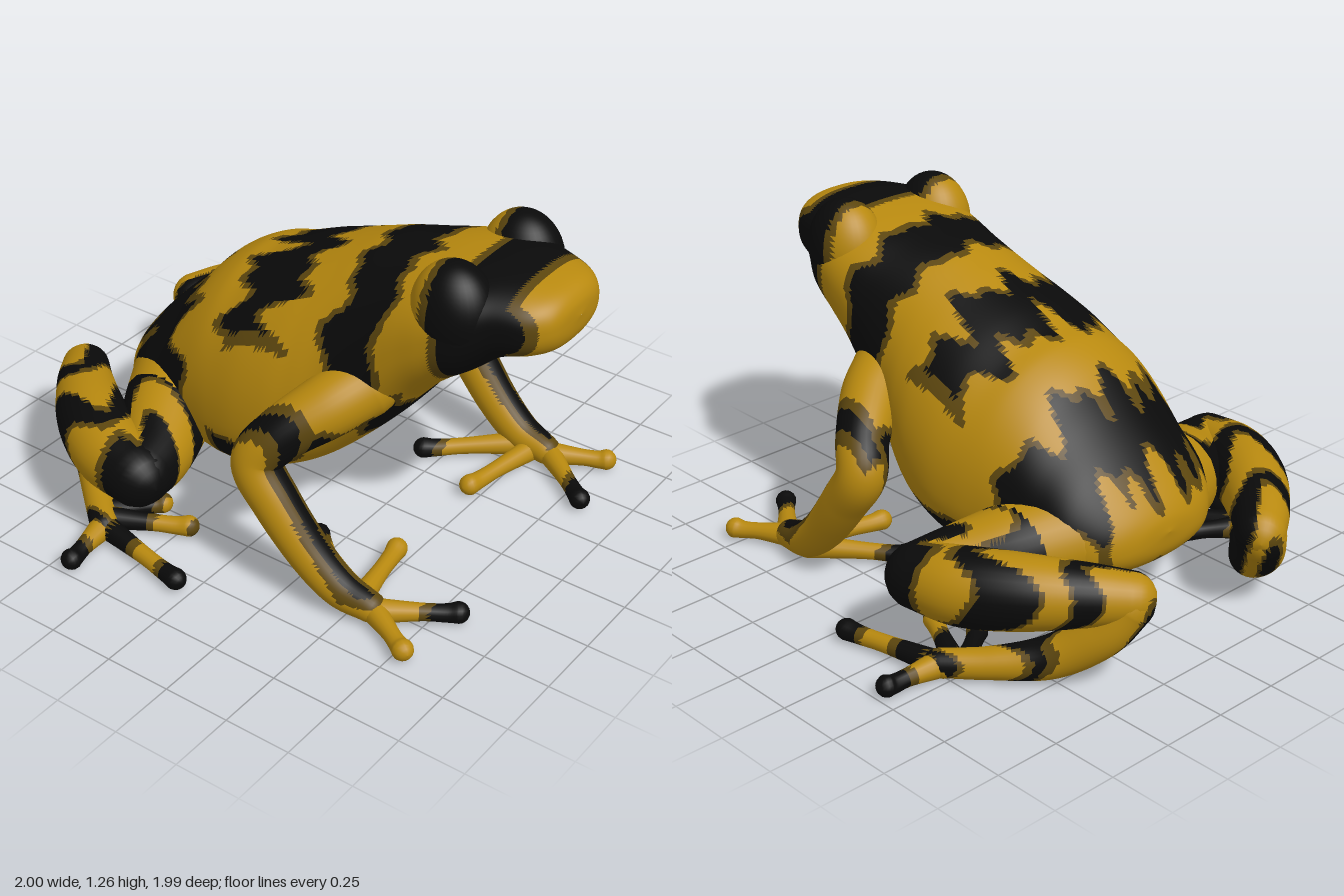
import * as THREE from 'three';

const SHADES = [
  ['Gold', new THREE.MeshStandardMaterial({ color: 0xb8890f })],
  ['Brown', new THREE.MeshStandardMaterial({ color: 0x5c460e })],
  ['Black', new THREE.MeshStandardMaterial({ color: 0x0a0a0a })],
];
const V = (x, y, z) => new THREE.Vector3(x, y, z);
const band = (v, a, b) => Math.min(v - a, b - v);

// Closed skin over a list of rings with equal point counts
function skin(rings) {
  const n = rings[0].length, idx = [];
  for (let i = 0; i < rings.length - 1; i++) {
    for (let j = 0; j < n; j++) {
      const a = i * n + j, b = i * n + (j + 1) % n;
      idx.push(a, b, a + n, b, b + n, a + n);
    }
  }
  const geo = new THREE.BufferGeometry().setFromPoints(rings.flat());
  geo.setIndex(idx);
  geo.computeVertexNormals();
  return geo;
}

// Splits a skin into gold, brown edge and black patches; field > 0 is black
function paint(name, geo, field) {
  const group = new THREE.Group();
  group.name = name;
  const pos = geo.attributes.position, index = geo.index.array, sets = [[], [], []];
  for (let i = 0; i < index.length; i += 3) {
    const c = V(0, 0, 0), p = V(0, 0, 0);
    for (let k = 0; k < 3; k++) c.add(p.fromBufferAttribute(pos, index[i + k]));
    c.divideScalar(3);
    const f = field(Math.abs(c.x), c.y, c.z, c.x);
    sets[f > 0.015 ? 2 : f > -0.015 ? 1 : 0].push(index[i], index[i + 1], index[i + 2]);
  }
  sets.forEach((set, k) => {
    if (!set.length) return;
    const part = new THREE.BufferGeometry();
    part.setAttribute('position', pos);
    part.setAttribute('normal', geo.attributes.normal);
    part.setIndex(set);
    const mesh = new THREE.Mesh(part, SHADES[k][1]);
    mesh.name = name + SHADES[k][0];
    group.add(mesh);
  });
  return group;
}

// Round-ended limb through [x, y, z, radius] points
function limb(points, side, steps = 50, sides = 32) {
  const path = new THREE.CatmullRomCurve3(points.map(p => V(p[0] * side, p[1], p[2])), false, 'catmullrom', 0.5);
  const radii = new THREE.CatmullRomCurve3(points.map(p => V(p[3], 0, 0)), false, 'catmullrom', 0.5);
  const stations = [];
  for (let k = 5; k > 0; k--) stations.push([0, -k * Math.PI / 10]);
  for (let k = 0; k <= steps; k++) stations.push([k / steps, 0]);
  for (let k = 1; k <= 5; k++) stations.push([1, k * Math.PI / 10]);
  const normal = V(0.31, 0.9, 0.27);
  return skin(stations.map(([t, cap]) => {
    const T = path.getTangent(t), r = radii.getPoint(t).x;
    normal.addScaledVector(T, -normal.dot(T)).normalize();
    const B = T.clone().cross(normal);
    const centre = path.getPoint(t).addScaledVector(T, r * Math.sin(cap));
    const R = Math.max(r * Math.cos(cap), 1e-4);
    return Array.from({ length: sides }, (_, j) => {
      const a = j / sides * Math.PI * 2;
      return centre.clone().addScaledVector(normal, R * Math.cos(a)).addScaledVector(B, R * Math.sin(a));
    });
  }));
}

// Body and head cross-sections from rump to snout: [z, half width, top, bottom]
const SECTIONS = [
  [-0.78, 0.001, 0.401, 0.4], [-0.765, 0.15, 0.46, 0.32], [-0.72, 0.26, 0.53, 0.27],
  [-0.62, 0.355, 0.645, 0.22], [-0.5, 0.39, 0.76, 0.19], [-0.4, 0.415, 0.87, 0.17],
  [-0.3, 0.445, 0.935, 0.16], [-0.2, 0.47, 0.965, 0.16], [-0.08, 0.485, 1.015, 0.175],
  [0.04, 0.475, 1.06, 0.22], [0.14, 0.445, 1.1, 0.28], [0.25, 0.4, 1.14, 0.38],
  [0.38, 0.37, 1.17, 0.52], [0.5, 0.355, 1.195, 0.67], [0.6, 0.345, 1.21, 0.765],
  [0.7, 0.325, 1.22, 0.84], [0.8, 0.265, 1.22, 0.92], [0.9, 0.225, 1.205, 0.955],
  [0.96, 0.175, 1.185, 0.985], [0.99, 0.115, 1.15, 1.03], [1.0, 0.001, 1.1, 1.099],
];

// Pear-shaped on the trunk, rounder towards the head
function bodyGeometry() {
  const a = new THREE.CatmullRomCurve3(SECTIONS.map(s => V(s[0], s[1], s[2])), false, 'catmullrom', 0.5);
  const b = new THREE.CatmullRomCurve3(SECTIONS.map(s => V(s[3], 0, 0)), false, 'catmullrom', 0.5);
  const round = (v, e) => Math.sign(v) * Math.abs(v) ** (2 / e);
  const rows = 160, cols = 112, rings = [];
  for (let i = 0; i <= rows; i++) {
    const p = a.getPoint(i / rows), low = b.getPoint(i / rows).x;
    const head = THREE.MathUtils.smoothstep(p.x, 0.1, 0.65);
    const mid = low + (p.z - low) * (0.4 + 0.1 * head);
    rings.push(Array.from({ length: cols }, (_, j) => {
      const t = j / cols * Math.PI * 2, s = Math.sin(t), e = s > 0 ? 2.05 + 0.5 * head : 2.35;
      return V(p.y * round(Math.cos(t), e), mid + (s > 0 ? p.z - mid : mid - low) * round(s, e), p.x);
    }));
  }
  return skin(rings);
}

// Jagged cross bands, back patch, dark flanks and head mask
function bodyField(x, y, z, sx) {
  const jag = 0.03 * Math.sin(sx * 31) + 0.025 * Math.sin(sx * 53 + 1) + 0.02 * Math.sin(y * 29);
  const collar = band(z + jag * 0.6, y < 0.62 ? 0.31 : 0.25, 0.46);
  const patch = Math.min(band(z + jag * 1.5, -0.18, 0.03), 0.4 - x, y - 0.74);
  const rump = Math.min(band(z + jag * 1.3, -0.68, -0.45 + 0.35 * Math.max(0, 0.75 - y)), y - 0.34 + jag);
  const flank = Math.min(band(z, -0.2, 0.14), band(y + jag, 0.27, 0.4), x - 0.36);
  const face = Math.min(0.2 - x, y - 0.96, z - 0.86);
  const mask = Math.min(z - 0.645, -face);
  return Math.max(collar, patch, rump, flank, mask);
}

// Streaks running along the hind legs
function legField(x, y, z) {
  const u = 0.55 * x + 0.83 * z, v = 0.83 * x - 0.55 * z;
  const streak = 0.08 * (Math.sin(17 * u + 2 * Math.sin(21 * v) + 9 * y) + 0.6 * Math.sin(26 * v + 5 * y) - 0.15);
  return Math.max(streak, Math.min(x - 0.7, z + 0.4));
}
const armField = (x, y, z) => Math.max(
  Math.min(band(x, 0.55, 0.63), y - 0.1, z - 0.3 + (y - 0.28) * 0.9),
  Math.min(band(y, 0.42, 0.62) + 0.02 * Math.sin(40 * x), 0.55 - x));

// Toe from a palm point to a padded tip
const toe = (from, tip, side) => limb([
  [from[0], 0.055, from[1], 0.045],
  [from[0] * 0.45 + tip[0] * 0.55, 0.05, from[1] * 0.45 + tip[1] * 0.55, 0.032],
  [from[0] * 0.15 + tip[0] * 0.85, 0.045, from[1] * 0.15 + tip[1] * 0.85, 0.033],
  [tip[0], 0.047, tip[1], 0.039]], side, 16, 14);

export function createModel() {
  const model = new THREE.Group();
  model.name = 'frog';
  model.add(paint('body', bodyGeometry(), bodyField));

  for (const side of [1, -1]) {
    const label = side > 0 ? 'left' : 'right';
    const add = (name, geo, field) => model.add(paint(label + name, geo, field));

    // Eye bulge sunk into the head
    const eye = new THREE.SphereGeometry(1, 36, 28).scale(0.13, 0.18, 0.15).translate(side * 0.21, 1.09, 0.645);
    add('Eye', eye, (x, y, z) => z - 0.6);

    // Front leg
    add('FrontLeg', limb([
      [0.28, 0.73, 0.35, 0.12], [0.41, 0.675, 0.28, 0.112], [0.54, 0.59, 0.18, 0.095], [0.595, 0.49, 0.125, 0.09],
      [0.6, 0.36, 0.21, 0.085], [0.59, 0.2, 0.34, 0.078], [0.58, 0.1, 0.46, 0.07], [0.57, 0.065, 0.58, 0.055]],
    side, 80), armField);
    [[0.67, 0.785], [0.4, 0.83], [0.235, 0.46], [0.33, 0.19]].forEach((tip, i) =>
      add('FrontToe' + (i + 1), toe([0.57, [0.6, 0.6, 0.53, 0.48][i]], tip, side),
        (x, y, z) => (i === 1 ? z - 0.75 : i === 3 ? 0.25 - z : -1)));

    // Hind leg: thigh, shin, then the long foot folded under the shin
    add('Thigh', limb([
      [0.22, 0.38, -0.53, 0.175], [0.4, 0.35, -0.44, 0.165], [0.57, 0.325, -0.35, 0.135], [0.7, 0.32, -0.31, 0.115]],
    side), (x, y, z) => (x < 0.42 ? -1 : legField(x, y, z)));
    add('Shin', limb([
      [0.715, 0.32, -0.315, 0.118], [0.67, 0.33, -0.48, 0.135], [0.57, 0.34, -0.65, 0.13],
      [0.43, 0.34, -0.81, 0.108], [0.325, 0.33, -0.905, 0.09]], side), legField);
    add('HindFoot', limb([
      [0.33, 0.31, -0.905, 0.09], [0.4, 0.2, -0.85, 0.083], [0.5, 0.095, -0.72, 0.075],
      [0.64, 0.067, -0.58, 0.057], [0.76, 0.06, -0.45, 0.05]], side), legField);
    [[0.96, -0.425], [0.83, -0.06], [0.57, -0.215], [0.52, -0.38]].forEach((tip, i) =>
      add('HindToe' + (i + 1), toe([0.78 - 0.03 * i, -0.45 - 0.02 * i], tip, side),
        (x, y, z) => (i === 0 ? x - 0.88 : 0.05 * Math.sin(22 * z + 2 + i))));
  }
  return model;
}
